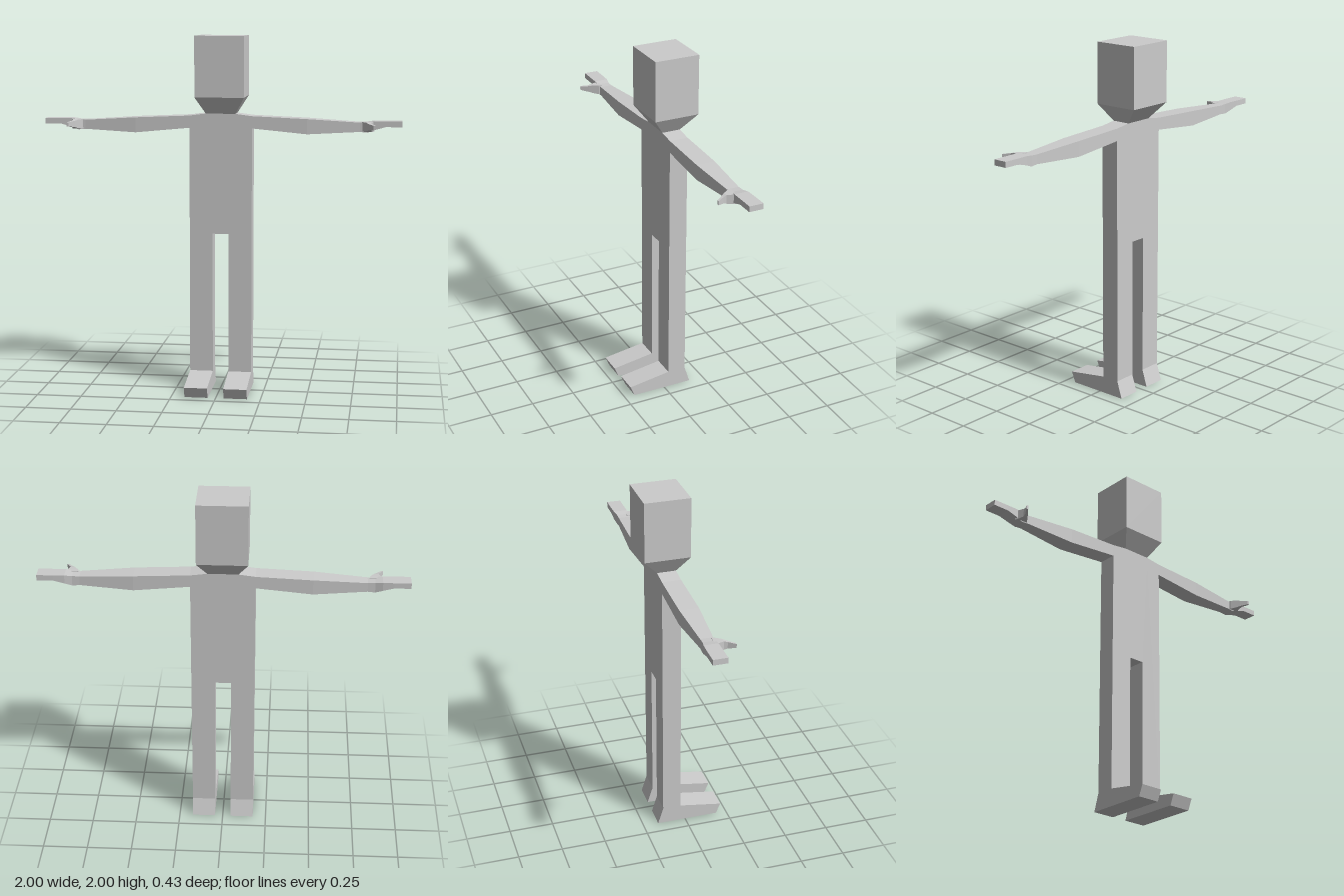
import * as THREE from 'three';

const material = new THREE.MeshStandardMaterial({ color: 0xcccccc, flatShading: true });
const BACK = -0.132, FRONT = -0.027;

// Closed loft through four-cornered rings, each counter-clockwise seen from the far end.
// side = -1 mirrors it to the other half of the body.
function loft(rings, side = 1) {
  const pos = [];
  const tri = (a, b, c) => {
    for (const p of side > 0 ? [a, b, c] : [a, c, b]) pos.push(p[0] * side, p[1], p[2]);
  };
  const quad = (a, b, c, d) => { tri(a, b, c); tri(a, c, d); };
  for (let i = 0; i < rings.length - 1; i++) {
    const r = rings[i], s = rings[i + 1];
    for (let j = 0; j < 4; j++) {
      const k = (j + 1) % 4;
      quad(r[j], r[k], s[k], s[j]);
    }
  }
  quad(...[...rings[0]].reverse());
  quad(...rings[rings.length - 1]);
  const g = new THREE.BufferGeometry();
  g.setAttribute('position', new THREE.Float32BufferAttribute(pos, 3));
  g.computeVertexNormals();
  return g;
}

const ringX = ([x, y0, y1, zb, zf]) => [[x, y0, zf], [x, y0, zb], [x, y1, zb], [x, y1, zf]];
const ringY = ([y, x0, x1, zb, zf]) => [[x0, y, zf], [x1, y, zf], [x1, y, zb], [x0, y, zb]];
const ringZ = ([z, x0, x1, y0, y1]) => [[x0, y0, z], [x1, y0, z], [x1, y1, z], [x0, y1, z]];

const shapeOf = pts => new THREE.Shape(pts.map(p => new THREE.Vector2(...p)));

export function createModel() {
  const model = new THREE.Group();
  const add = (name, geometry) => {
    const mesh = new THREE.Mesh(geometry, material);
    mesh.name = name;
    model.add(mesh);
  };

  // Head block with the jaw tapering down to the neck
  add('head', loft([
    [1.565, -0.083, 0.083, BACK, FRONT],
    [1.658, -0.137, 0.137, -0.215, 0.04],
    [1.995, -0.137, 0.137, -0.215, 0.04],
  ].map(ringY)));

  // Torso and legs cut from one slab
  const half = [[0.045, 0.89], [0.045, 0.097], [0.175, 0.097], [0.175, 1.553], [0.083, 1.565]];
  const outline = [...half, ...half.map(([x, y]) => [-x, y]).reverse()];
  const body = new THREE.ExtrudeGeometry(shapeOf(outline), { depth: FRONT - BACK, bevelEnabled: false });
  body.translate(0, 0, BACK);
  add('torsoAndLegs', body);

  // Foot side profile (z, y)
  const footProfile = [[-0.163, 0], [0.19, 0], [0.215, 0.06], [FRONT, 0.097], [BACK, 0.097]];

  for (const [label, side] of [['left', 1], ['right', -1]]) {
    const foot = new THREE.ExtrudeGeometry(shapeOf(footProfile), { depth: 0.13, bevelEnabled: false });
    foot.rotateY(-Math.PI / 2);
    foot.translate(side > 0 ? 0.175 : -0.045, 0, 0);
    add(label + 'Foot', foot);

    // Arm: shoulder, elbow, wrist, palm, fingertips (x, bottom, top, back, front)
    add(label + 'Arm', loft([
      [0.175, 1.485, 1.553, BACK, FRONT],
      [0.48, 1.456, 1.54, BACK, FRONT],
      [0.77, 1.471, 1.522, -0.114, -0.046],
      [0.81, 1.467, 1.524, -0.114, -0.046],
      [0.85, 1.482, 1.53, -0.122, -0.045],
      [0.91, 1.499, 1.53, -0.124, -0.045],
      [1.0, 1.499, 1.53, -0.124, -0.045],
    ].map(ringX), side));

    // Thumb reaching forward and curling outward (z, inner, outer, bottom, top)
    add(label + 'Thumb', loft([
      [-0.06, 0.78, 0.85, 1.473, 1.526],
      [-0.04, 0.785, 0.842, 1.473, 1.526],
      [-0.01, 0.805, 0.832, 1.478, 1.525],
      [0.008, 0.817, 0.835, 1.484, 1.52],
      [0.047, 0.845, 0.857, 1.492, 1.514],
    ].map(ringZ), side));
  }
  return model;
}
